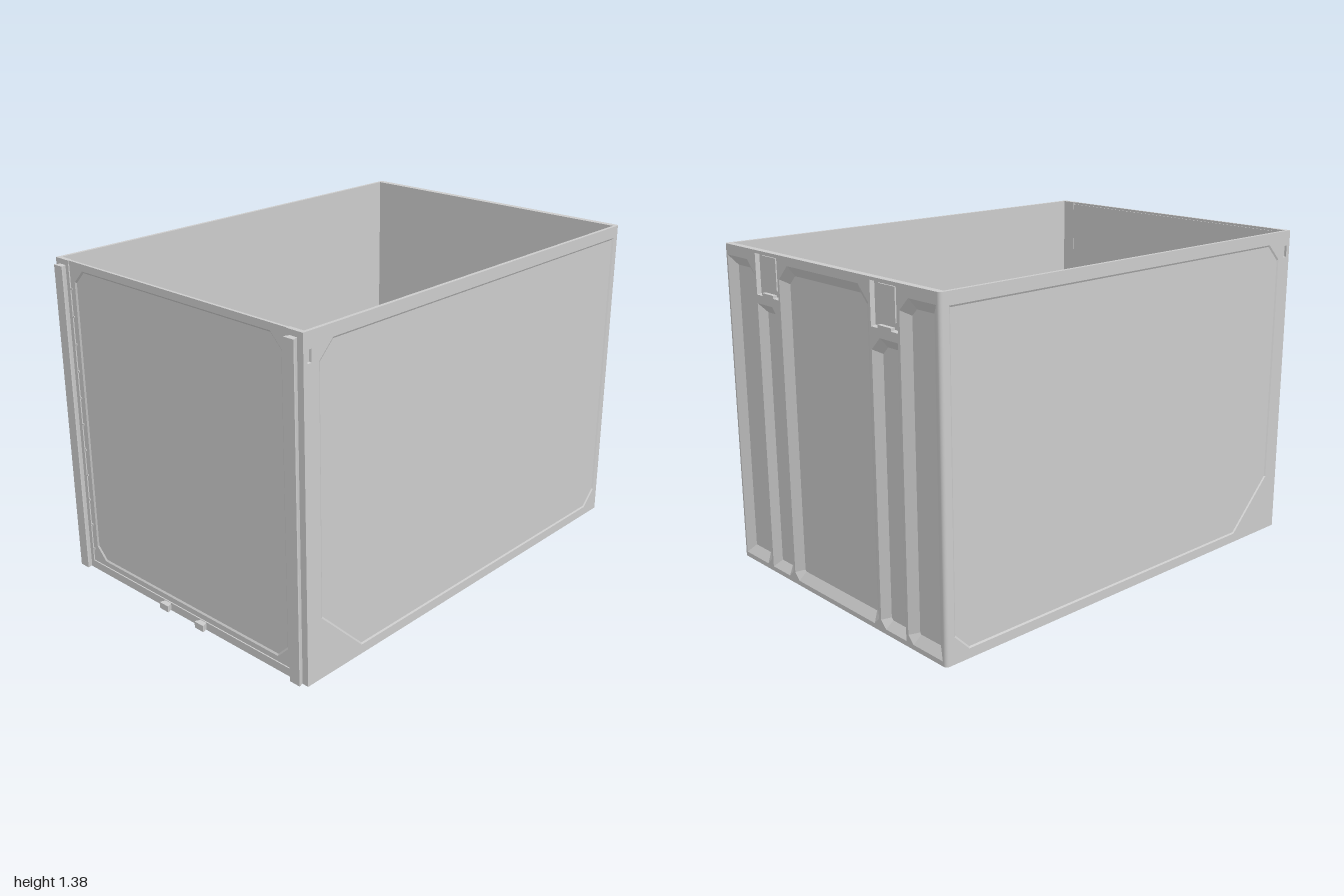
import * as THREE from 'three';

const material = new THREE.MeshStandardMaterial({ color: 0xcccccc });
const V = (p) => p.map(([x, y]) => new THREE.Vector2(x, y));

// Rectangle with optional corner cuts (bottom left, bottom right, top right, top left), counter-clockwise
function cutRect(x0, y0, x1, y1, [bl, br, tr, tl] = [0, 0, 0, 0]) {
  const pts = [[x0, y0 + bl], [x0 + bl, y0], [x1 - br, y0], [x1, y0 + br],
    [x1, y1 - tr], [x1 - tr, y1], [x0 + tl, y1], [x0, y1 - tl]];
  return pts.filter((p, i) => {
    const q = pts[(i + 1) % pts.length];
    return Math.hypot(p[0] - q[0], p[1] - q[1]) > 1e-6;
  });
}

// Moves every edge of a counter-clockwise polygon inward by d
function inset(pts, d) {
  const n = pts.length;
  const normal = (a, b) => {
    const l = Math.hypot(b[0] - a[0], b[1] - a[1]);
    return [-(b[1] - a[1]) / l, (b[0] - a[0]) / l];
  };
  return pts.map((p, i) => {
    const m = normal(pts[(i + n - 1) % n], p), k = normal(p, pts[(i + 1) % n]);
    const f = d / (1 + m[0] * k[0] + m[1] * k[1]);
    return [p[0] + (m[0] + k[0]) * f, p[1] + (m[1] + k[1]) * f];
  });
}

// Wall facing +z with its front at z = 0 and slope-sided recesses { outline, slope, depth }
function panelledWall(outline, thickness, recesses) {
  const pos = [];
  const tri = (...c) => c.forEach((p) => pos.push(...p));
  const fill = (pts, z, holes = [], flip = false) => {
    const contour = V(pts), cuts = holes.map((h) => V(h).reverse());
    const all = [...contour, ...cuts.flat()].map((p) => [p.x, p.y, z]);
    for (const [a, b, c] of THREE.ShapeUtils.triangulateShape(contour, cuts))
      flip ? tri(all[a], all[c], all[b]) : tri(all[a], all[b], all[c]);
  };
  const band = (a, za, b, zb, outward) => a.forEach((p, i) => {
    const j = (i + 1) % a.length;
    const A = [...p, za], B = [...a[j], za], C = [...b[j], zb], D = [...b[i], zb];
    if (outward) { tri(A, D, C); tri(A, C, B); } else { tri(A, B, C); tri(A, C, D); }
  });
  fill(outline, 0, recesses.map((r) => r.outline));
  fill(outline, -thickness, [], true);
  band(outline, 0, outline, -thickness, true);
  for (const r of recesses) {
    const floor = inset(r.outline, r.slope);
    band(r.outline, 0, floor, -r.depth, false);
    fill(floor, -r.depth);
  }
  const g = new THREE.BufferGeometry();
  g.setAttribute('position', new THREE.Float32BufferAttribute(pos, 3));
  g.computeVertexNormals();
  return g;
}

export function createModel() {
  const model = new THREE.Group();
  const add = (name, geometry, x = 0, y = 0, z = 0, ry = 0) => {
    const mesh = new THREE.Mesh(geometry, material);
    mesh.name = name;
    mesh.position.set(x, y, z);
    mesh.rotation.y = ry;
    model.add(mesh);
    return mesh;
  };
  const box = (name, x0, x1, y0, y1, z0, z1) => add(name,
    new THREE.BoxGeometry(x1 - x0, y1 - y0, z1 - z0), (x0 + x1) / 2, (y0 + y1) / 2, (z0 + z1) / 2);
  const H = 1.38;

  // Floor
  box('floor', -0.678, 0.678, 0, 0.02, -0.985, 0.965);

  // Side walls with a shallow panel and a small slot near the front
  const sidePanel = cutRect(-0.9, 0.04, 0.96, 1.33, [0.22, 0.07, 0, 0.07]);
  const slot = cutRect(-0.956, 1.265, -0.936, 1.315);
  for (const s of [1, -1]) {
    const flip = (pts) => (s > 0 ? pts : pts.map(([u, v]) => [-u, v]).reverse());
    add(s > 0 ? 'leftWall' : 'rightWall', panelledWall(flip(cutRect(-0.975, 0, 0.985, H)), 0.015, [
      { outline: flip(sidePanel), slope: 0.007, depth: 0.004 },
      { outline: flip(slot), slope: 0.002, depth: 0.01 },
    ]), s * 0.69, 0, 0, s * Math.PI / 2);
  }

  // Back wall: one wide bay, narrow and outer bays, and latch pockets
  const bays = [{ outline: cutRect(-0.29, 0.02, 0.29, 1.345, [0.03, 0.03, 0.06, 0.06]), slope: 0.04, depth: 0.025 }];
  for (const s of [1, -1]) {
    const rect = (a, b, y0, y1, cuts) => cutRect(Math.min(s * a, s * b), y0, Math.max(s * a, s * b), y1,
      s > 0 ? cuts : [cuts[1], cuts[0], cuts[3], cuts[2]]);
    bays.push(
      { outline: rect(0.302, 0.458, 0.02, 1.165, [0.03, 0, 0, 0.05]), slope: 0.035, depth: 0.025 },
      { outline: rect(0.47, 0.67, 0.02, 1.335, [0.03, 0.0, 0.0, 0.05]), slope: 0.04, depth: 0.025 },
      { outline: rect(0.302, 0.458, 1.2, 1.368, [0, 0, 0, 0]), slope: 0.004, depth: 0.018 });
  }
  add('backWall', panelledWall(cutRect(-0.675, 0, 0.675, H), 0.03, bays), 0, 0, -1, Math.PI);

  // Front door with a chamfered inset panel
  add('frontDoor', panelledWall(cutRect(-0.612, 0.035, 0.612, 1.37), 0.014, [
    { outline: cutRect(-0.583, 0.058, 0.583, 1.35, [0.055, 0.055, 0.055, 0.055]), slope: 0.007, depth: 0.005 },
  ]), 0, 0, 0.97);
  box('frontSill', -0.612, 0.612, 0, 0.035, 0.956, 0.975);
  box('frontHeader', -0.612, 0.612, 1.366, H, 0.96, 0.972);

  // Dovetail section shared by the front rails and the door stops
  const dovetail = (name, x, y0, y1, w) => {
    const shape = new THREE.Shape(V([[-w * 0.32, 0], [w * 0.32, 0], [w / 2, -0.02],
      [w / 2, -0.026], [-w / 2, -0.026], [-w / 2, -0.02]]));
    const g = new THREE.ExtrudeGeometry(shape, { depth: y1 - y0, bevelEnabled: false });
    g.rotateX(-Math.PI / 2);
    return add(name, g, x, y0, 0.974);
  };

  for (const s of [1, -1]) {
    // Rounded rear corners
    add('rearCorner', new THREE.CylinderGeometry(0.015, 0.015, H, 20), s * 0.675, H / 2, -0.985);
    // Front posts, rails and stops
    box('frontPost', s > 0 ? 0.61 : -0.69, s > 0 ? 0.69 : -0.61, 0, H, 0.955, 0.975);
    dovetail('frontRail', s * 0.645, 0.005, 1.358, 0.05);
    dovetail('doorStop', s * 0.108, 0.005, 0.033, 0.05);
    // Latch plate and the ledge under it
    const x = s * 0.38;
    box('latchPlate', x - 0.05, x + 0.05, 1.23, 1.36, -0.988, -0.98);
    box('latchLedge', x - 0.04, x + 0.04, 1.2, 1.212, -1, -0.98);
    // Small hinge knuckles along the door edge
    for (let i = 0; i < 11; i++)
      box('hingeKnuckle', s * 0.605 - 0.004, s * 0.605 + 0.004, 0.09 + i * 0.117, 0.098 + i * 0.117, 0.968, 0.974);
  }
  return model;
}
